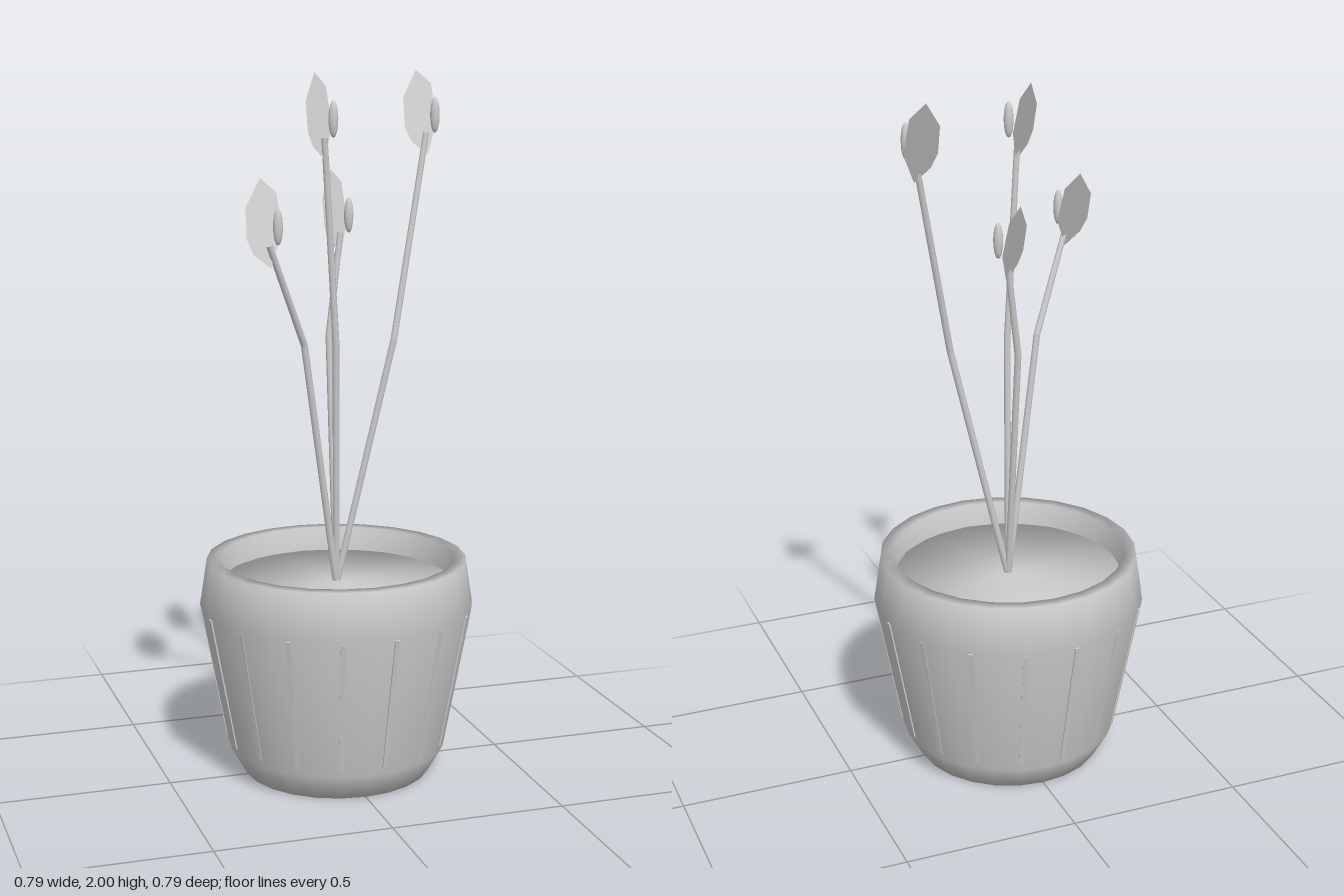
import * as THREE from 'three';
import { mergeVertices } from 'three/addons/utils/BufferGeometryUtils.js';

const clay = new THREE.MeshStandardMaterial({ color: 0xcccccc });
clay.name = 'paleGrey';
clay.side = THREE.DoubleSide;

const V = (x, y, z) => new THREE.Vector3(x, y, z);

function add(parent, name, geometry) {
  const mesh = new THREE.Mesh(geometry, clay);
  mesh.name = name;
  parent.add(mesh);
  return mesh;
}

// Tapered rod between two points
function rod(parent, name, a, b, r0, r1) {
  const dir = b.clone().sub(a);
  const mesh = add(parent, name, new THREE.CylinderGeometry(r1, r0, dir.length(), 8));
  mesh.position.copy(a).lerp(b, 0.5);
  mesh.quaternion.setFromUnitVectors(V(0, 1, 0), dir.normalize());
}

// Flat leaf, leaning back and turned by the slope of z over x
function leafGeometry(width, turn) {
  const outline = [[0.005, 0.117], [-0.05, 0.042], [-0.057, -0.04], [-0.041, -0.08],
    [0.006, -0.117], [0.053, -0.025], [0.05, 0.078]];
  const shape = new THREE.Shape(outline.map(([x, y]) => new THREE.Vector2(x * width, y)));
  const geometry = new THREE.ShapeGeometry(shape);
  const p = geometry.attributes.position;
  for (let i = 0; i < p.count; i++) p.setZ(i, -turn * p.getX(i) - 0.43 * p.getY(i));
  geometry.computeVertexNormals();
  return geometry;
}

function createPot() {
  const pot = new THREE.Group();
  pot.name = 'pot';

  // Hollow body with a thick rim
  const profile = [[0, 0], [0.27, 0], [0.315, 0.08], [0.393, 0.495], [0.372, 0.63],
    [0.335, 0.63], [0.326, 0.5]].map(([r, y]) => new THREE.Vector2(r, y));
  add(pot, 'potBody', new THREE.LatheGeometry(profile, 24));

  // Upright ribs around the wall
  for (let i = 0; i < 16; i++) {
    const holder = new THREE.Group();
    holder.name = 'ribHolder';
    holder.rotation.y = THREE.MathUtils.degToRad(7.5 + i * 22.5);
    const rib = add(holder, 'rib', new THREE.BoxGeometry(0.014, 0.4, 0.012));
    rib.position.set(0, 0.295, 0.3505);
    rib.rotation.x = 0.186;
    pot.add(holder);
  }

  // Soil plug, softly shaded across its edge
  const soil = new THREE.CylinderGeometry(0.333, 0.29, 0.35, 16);
  soil.deleteAttribute('normal');
  soil.deleteAttribute('uv');
  const soft = mergeVertices(soil);
  soft.computeVertexNormals();
  add(pot, 'soil', soft).position.y = 0.385;
  return pot;
}

function createPlant() {
  const plant = new THREE.Group();
  plant.name = 'plant';
  const stalks = [
    { bend: V(-0.112, 1.26, 0.06), tip: V(-0.232, 1.55, 0.133), width: 1, turn: 0.3 },
    { bend: V(-0.017, 1.26, 0.05), tip: V(-0.058, 1.83, 0.076), width: 0.82, turn: 0.75 },
    { bend: V(0.004, 1.26, -0.082), tip: V(0.045, 1.55, -0.104), width: 0.82, turn: 0.75 },
    { bend: V(0.165, 1.26, 0.02), tip: V(0.28, 1.83, -0.045), width: 1, turn: 0.3 },
  ];
  for (const { bend, tip, width, turn } of stalks) {
    const stalk = new THREE.Group();
    stalk.name = 'stalk';
    rod(stalk, 'lowerStem', V(0, 0.55, 0), bend, 0.01, 0.01);
    rod(stalk, 'upperStem', bend, tip, 0.01, 0.009);

    const leaf = add(stalk, 'leaf', leafGeometry(width, turn));
    leaf.position.copy(tip).add(V(-0.002, 0.055, -0.046));

    const bud = add(stalk, 'bud', new THREE.SphereGeometry(0.014, 10, 8));
    bud.scale.y = 3.6;
    bud.position.copy(tip).add(V(0.022, 0.05, 0.01));
    plant.add(stalk);
  }
  return plant;
}

export function createModel() {
  const model = new THREE.Group();
  model.name = 'pottedPlant';
  model.add(createPot(), createPlant());
  return model;
}
